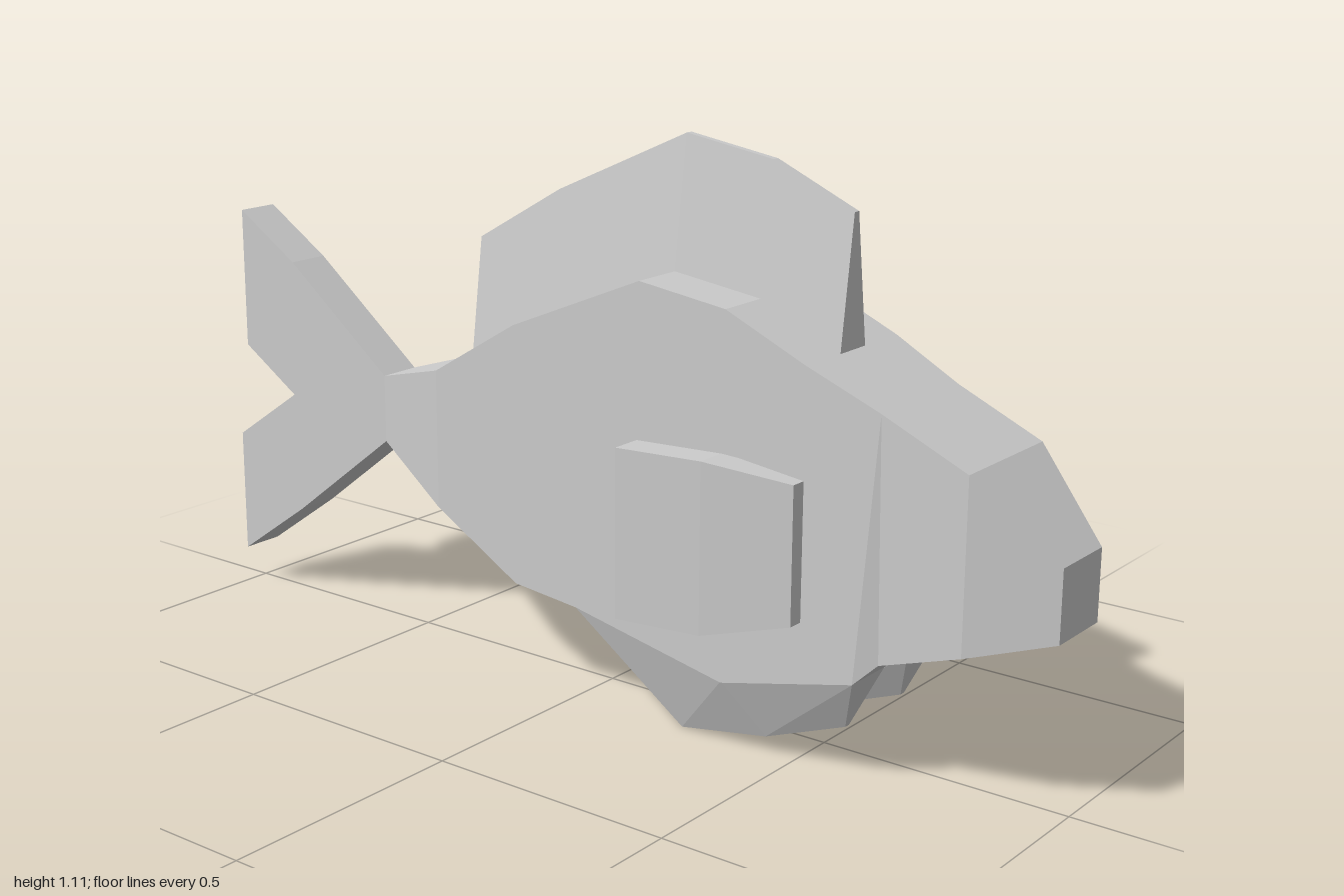
import * as THREE from 'three';

const material = new THREE.MeshStandardMaterial({ color: 0xcccccc, flatShading: true });

// Four corners, counter-clockwise from the front; each end is [centreX, halfWidth, y, z].
function ring([bx, bw, by, bz], [tx, tw, ty, tz]) {
  return [[bx + bw, by, bz], [tx + tw, ty, tz], [tx - tw, ty, tz], [bx - bw, by, bz]];
}

// Skins rings ordered from front to back and caps both ends.
function loft(name, rings) {
  const pos = [];
  const quad = (a, b, c, d) => [a, b, c, a, c, d].forEach((p) => pos.push(...p));
  quad(...rings[0]);
  for (let i = 0; i < rings.length - 1; i++) {
    const a = rings[i], b = rings[i + 1];
    for (let j = 0; j < 4; j++) {
      const k = (j + 1) % 4;
      quad(a[j], b[j], b[k], a[k]);
    }
  }
  quad(...[...rings[rings.length - 1]].reverse());
  const geometry = new THREE.BufferGeometry();
  geometry.setAttribute('position', new THREE.Float32BufferAttribute(pos, 3));
  geometry.computeVertexNormals();
  const mesh = new THREE.Mesh(geometry, material);
  mesh.name = name;
  return mesh;
}

export function createModel() {
  const fish = new THREE.Group();
  fish.name = 'fish';

  // Body: top z, top y, bottom z, bottom y, half width
  const body = [
    [1.0, 0.475, 1.0, 0.34, 0.069],
    [0.85, 0.62, 0.85, 0.297, 0.127],
    [0.68, 0.695, 0.69, 0.245, 0.128],
    [0.54, 0.76, 0.65, 0.205, 0.147],
    [0.37, 0.835, 0.37, 0.138, 0.147],
    [0.18, 0.86, 0.03, 0.205, 0.147],
    [-0.12, 0.735, -0.12, 0.22, 0.147],
    [-0.32, 0.615, -0.32, 0.335, 0.147],
    [-0.56, 0.545, -0.56, 0.405, 0.045],
  ];
  fish.add(loft('body', body.map(([tz, ty, bz, by, w]) => ring([0, w, by, bz], [0, w, ty, tz]))));

  // Dorsal fin: z, base y, crest y; wide base and thin crest
  const dorsal = [
    [0.54, 0.76, 1.005], [0.37, 0.835, 1.08], [0.18, 0.86, 1.11],
    [-0.12, 0.735, 0.975], [-0.32, 0.615, 0.86],
  ];
  fish.add(loft('dorsalFin', dorsal.map(([z, base, crest]) =>
    ring([0, 0.04, base, z], [0, 0.007, crest, z]))));

  // Forked tail, cut as a flat plate
  const outline = [
    [-0.56, 0.545], [-0.56, 0.405], [-0.82, 0.205], [-1.0, 0.08], [-1.0, 0.345],
    [-0.83, 0.46], [-0.97, 0.55], [-0.97, 0.845], [-0.82, 0.75],
  ];
  const shape = new THREE.Shape(outline.map(([z, y]) => new THREE.Vector2(-z, y)));
  const tailGeometry = new THREE.ExtrudeGeometry(shape, { depth: 0.09, bevelEnabled: false });
  tailGeometry.translate(0, 0, -0.045).rotateY(Math.PI / 2);
  const tail = new THREE.Mesh(tailGeometry, material);
  tail.name = 'tailFin';
  fish.add(tail);

  for (const [side, label] of [[1, 'left'], [-1, 'right']]) {
    // Side fins flare outwards to the back: z, bottom y, top y, centre x
    const pectoral = [
      [0.54, 0.295, 0.555, 0.147], [0.37, 0.25, 0.575, 0.185], [0.2, 0.25, 0.575, 0.21],
    ];
    fish.add(loft(label + 'PectoralFin', pectoral.map(([z, low, high, x]) =>
      ring([side * x, 0.031, low, z], [side * x, 0.031, high, z]))));

    // Belly fins taper downwards: tip y, tip z, base y, base z
    const belly = [
      [0.1, 0.61, 0.205, 0.65], [0.035, 0.44, 0.14, 0.37], [0.003, 0.25, 0.205, 0.03],
    ];
    fish.add(loft(label + 'BellyFin', belly.map(([ty, tz, by, bz]) =>
      ring([side * 0.094, 0.006, ty, tz], [side * 0.0935, 0.0535, by, bz]))));
  }

  const model = new THREE.Group();
  fish.position.x = -0.005;
  model.add(fish);
  return model;
}
